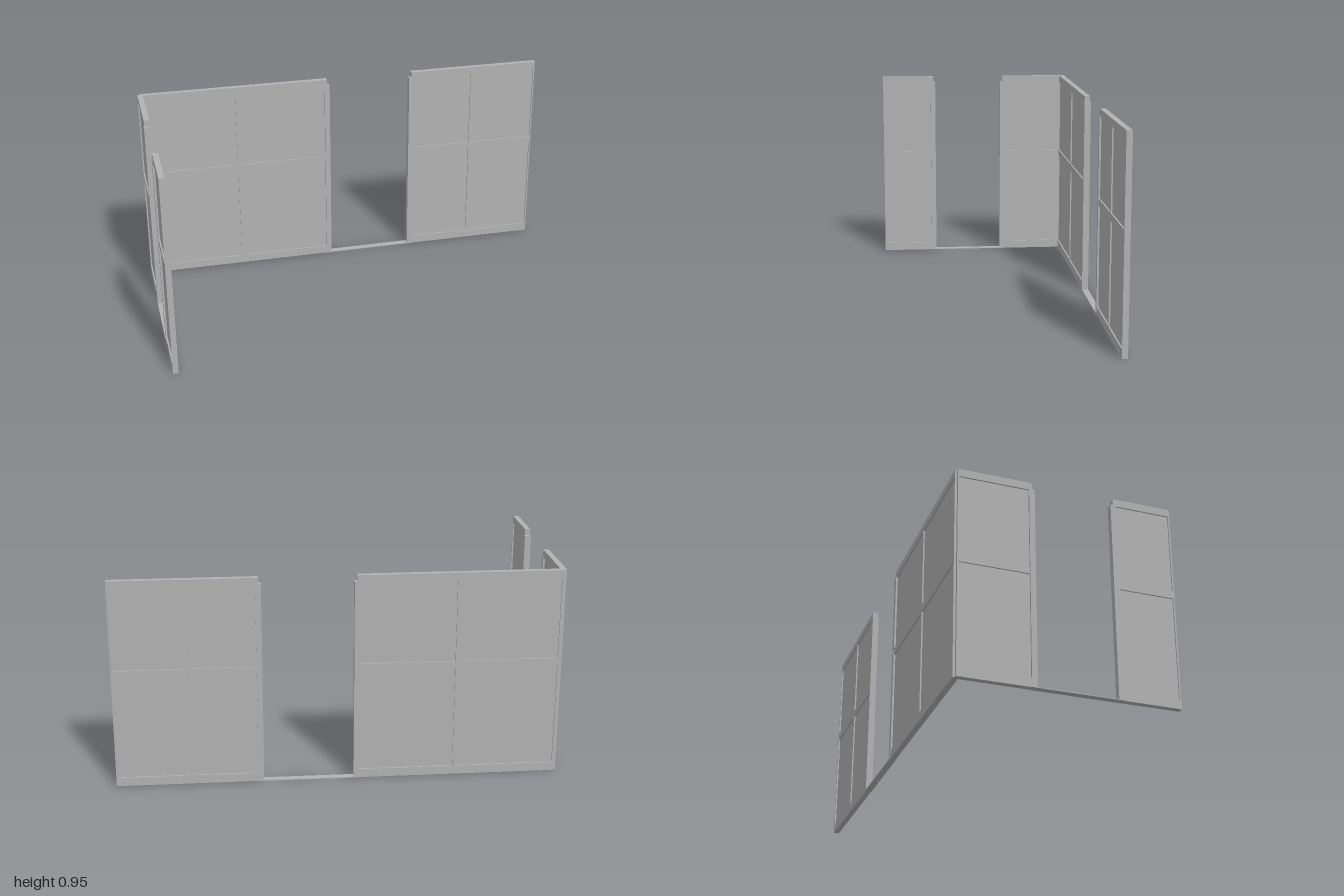
import * as THREE from 'three';

const HEIGHT = 0.955, POST_HEIGHT = 0.925;
const RAIL_DEPTH = 0.026, POST_DEPTH = 0.03, PANEL_DEPTH = 0.013;

export function createModel() {
  const grey = new THREE.MeshStandardMaterial({ color: 0xb2b2b2 });
  grey.name = 'wallGrey';

  // Box given by its extents along the wall (u) and upwards (y)
  function slab(parent, name, u0, u1, y0, y1, depth) {
    const mesh = new THREE.Mesh(new THREE.BoxGeometry(u1 - u0, y1 - y0, depth), grey);
    mesh.position.set((u0 + u1) / 2, (y0 + y1) / 2, 0);
    mesh.name = name;
    parent.add(mesh);
  }

  // Framed wall section between a plain end and a door post
  // doorSide is +1 when the doorway lies at the high end, -1 at the low end
  function section(parent, name, u0, u1, doorSide, mullions) {
    const group = new THREE.Group();
    group.name = name;
    parent.add(group);
    const high = doorSide > 0;
    const a = high ? u0 : u0 + 0.012, b = high ? u1 - 0.012 : u1;
    const p0 = high ? u0 + 0.007 : u0 + 0.025;
    const p1 = high ? u1 - 0.025 : u1 - 0.007;

    slab(group, 'panel', p0, p1, 0.04, 0.92, PANEL_DEPTH);
    slab(group, 'bottomRail', a, b, 0, 0.04, RAIL_DEPTH);
    slab(group, 'middleRail', p0, p1, 0.513, 0.547, RAIL_DEPTH);
    slab(group, 'topRail', a, b, 0.92, HEIGHT, RAIL_DEPTH);

    // Thin stile at the plain end, deeper post beside the doorway
    if (high) {
      slab(group, 'endStile', u0, p0, 0.04, 0.92, RAIL_DEPTH);
      slab(group, 'doorPost', p1, u1, 0, POST_HEIGHT, POST_DEPTH);
    } else {
      slab(group, 'doorPost', u0, p0, 0, POST_HEIGHT, POST_DEPTH);
      slab(group, 'endStile', p1, u1, 0.04, 0.92, RAIL_DEPTH);
    }

    // Upright bars, interrupted by the middle rail
    for (const u of mullions) {
      slab(group, 'lowerMullion', u - 0.008, u + 0.008, 0.04, 0.513, RAIL_DEPTH);
      slab(group, 'upperMullion', u - 0.008, u + 0.008, 0.547, 0.92, RAIL_DEPTH);
    }
  }

  const model = new THREE.Group();
  model.name = 'cornerPartition';

  // Long back wall, running along x
  const backWall = new THREE.Group();
  backWall.name = 'backWall';
  backWall.position.z = -0.477;
  section(backWall, 'longSection', -0.985, -0.065, 1, [-0.525]);
  section(backWall, 'shortSection', 0.34, 1, -1, [0.67]);
  slab(backWall, 'doorSill', -0.065, 0.34, 0, 0.004, POST_DEPTH);
  model.add(backWall);

  // Side wall, running along z
  const sideWall = new THREE.Group();
  sideWall.name = 'sideWall';
  sideWall.rotation.y = -Math.PI / 2;
  sideWall.position.x = -0.985;
  section(sideWall, 'cornerSection', -0.48, -0.14, 1, []);
  section(sideWall, 'endSection', 0.21, 0.49, -1, []);
  slab(sideWall, 'doorSill', -0.14, 0.21, 0, 0.004, POST_DEPTH);
  model.add(sideWall);

  return model;
}
